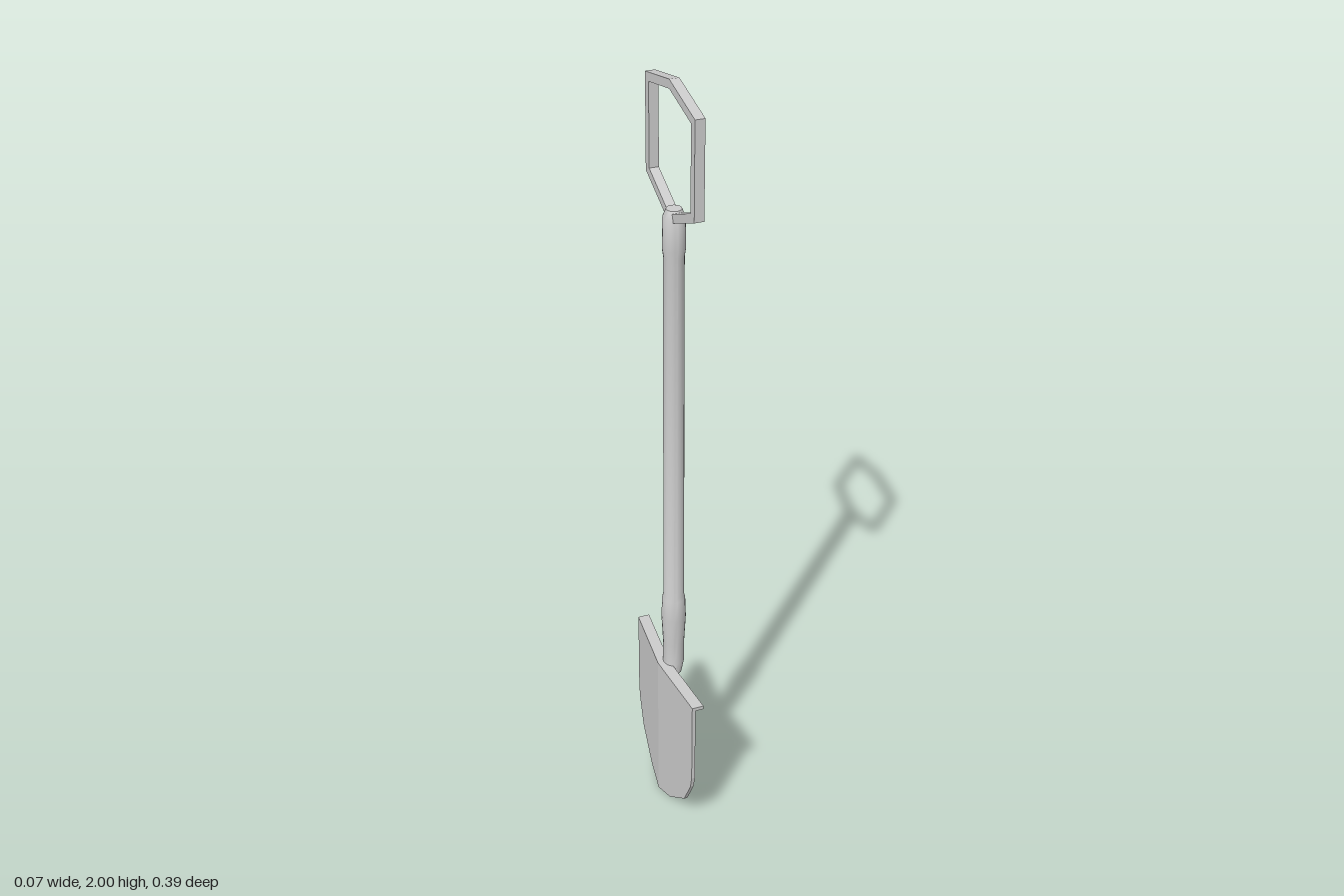
import * as THREE from 'three';
import { toCreasedNormals } from 'three/addons/utils/BufferGeometryUtils.js';

const grey = new THREE.MeshStandardMaterial({ color: 0xcccccc });

function addMesh(parent, name, geometry) {
  const mesh = new THREE.Mesh(geometry, grey);
  mesh.name = name;
  parent.add(mesh);
}

const toShape = (points) => new THREE.Shape(points.map(([x, y]) => new THREE.Vector2(x, y)));

// Extrude an outline drawn in (side, height), then turn it so its thickness runs along x
function sidePlate(shape, thickness, x) {
  const geo = new THREE.ExtrudeGeometry(shape, { depth: thickness, bevelEnabled: false });
  return geo.rotateY(Math.PI / 2).translate(x, 0, 0);
}

// Sweep the plate's edges forward so two halves meet in a shallow V
function foldPlate(geo) {
  const pos = geo.attributes.position;
  for (let i = 0; i < pos.count; i++) {
    pos.setX(i, pos.getX(i) + Math.abs(pos.getZ(i)) * 0.09);
  }
  geo.computeVertexNormals();
  return geo;
}

// Round bar through rings of [centre x, centre y, radius, tilt], listed from the top
function ringBar(rings, sides) {
  const rows = rings.length - 1;
  const geo = new THREE.CylinderGeometry(1, 1, 1, sides, rows, true);
  const pos = geo.attributes.position;
  for (let i = 0; i < pos.count; i++) {
    const [cx, cy, r, tilt] = rings[Math.floor(i / (sides + 1))];
    const across = r * pos.getX(i);
    pos.setXYZ(i, cx + across * Math.cos(tilt), cy - across * Math.sin(tilt), r * pos.getZ(i));
  }
  return toCreasedNormals(geo, 0.6);
}

export function createModel() {
  const model = new THREE.Group();
  model.name = 'shovel';

  // Blade and its folded foot ledge, one half per side
  const blade = new THREE.Group();
  blade.name = 'blade';
  model.add(blade);
  const outline = [[0, 0], [0.07, 0.026], [0.155, 0.093], [0.19, 0.165], [0.197, 0.2], [0.197, 0.436], [0, 0.436]];
  const ledge = [[0, 0.426], [0.197, 0.426], [0.197, 0.436], [0, 0.436]];
  for (const side of [1, -1]) {
    const name = side > 0 ? 'right' : 'left';
    const mirror = (points) => toShape(points.map(([x, y]) => [x * side, y]));
    addMesh(blade, name + 'BladeHalf', foldPlate(sidePlate(mirror(outline), 0.009, -0.038)));
    addMesh(blade, name + 'FootLedge', foldPlate(sidePlate(mirror(ledge), 0.03, -0.038)));
  }

  // Shaft with rounded top, socket sleeve and elbow running into the blade
  const cx = 0.005;
  addMesh(model, 'shaft', ringBar([
    [cx, 1.705, 0, 0],
    [cx, 1.705, 0.018, 0],
    [cx, 1.685, 0.026, 0],
    [cx, 1.61, 0.027, 0],
    [cx, 1.59, 0.024, 0],
    [cx, 0.65, 0.026, 0],
    [cx, 0.64, 0.029, 0],
    [cx, 0.58, 0.031, 0],
    [cx, 0.5, 0.027, 0],
    [cx, 0.44, 0.027, 0.15],
    [cx - 0.004, 0.418, 0.028, 0.6],
    [-0.032, 0.377, 0.031, Math.PI / 2],
  ], 20));

  // Six-sided grip loop
  const grip = toShape([[0, 1.67], [0.148, 1.736], [0.148, 1.966], [0, 2], [-0.148, 1.966], [-0.148, 1.736]]);
  grip.holes.push(toShape([[0, 1.692], [-0.126, 1.749], [-0.126, 1.95], [0, 1.979], [0.126, 1.95], [0.126, 1.749]]));
  addMesh(model, 'grip', sidePlate(grip, 0.023, -0.006));

  return model;
}
